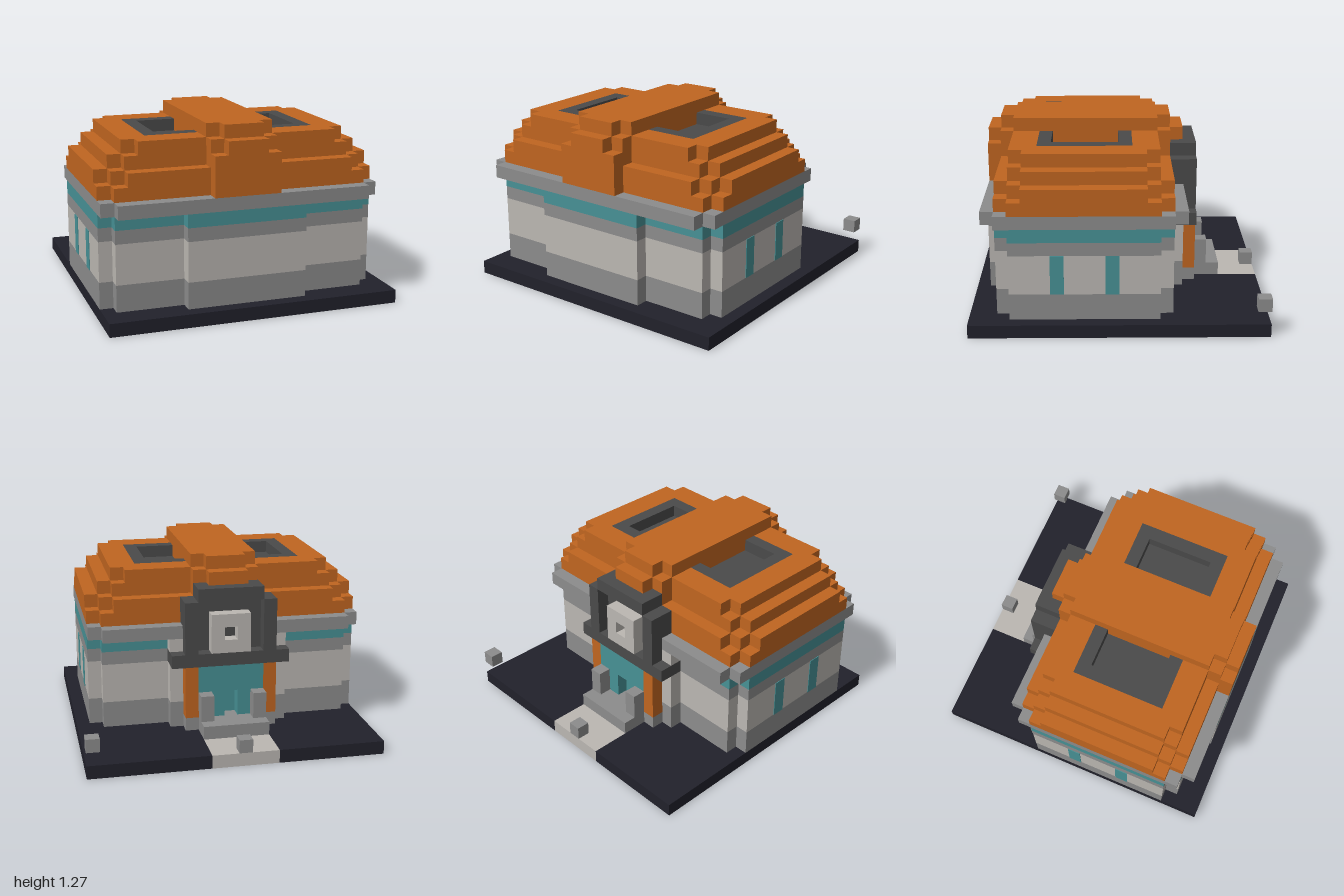
import * as THREE from 'three';
import { mergeGeometries } from 'three/addons/utils/BufferGeometryUtils.js';

const U = 1 / 11; // one block
const material = (name, color) => {
  const m = new THREE.MeshStandardMaterial({ color });
  m.name = name;
  return m;
};

// Box spanning block coordinates [x0, x1, y0, y1, z0, z1]
function block([x0, x1, y0, y1, z0, z1]) {
  const g = new THREE.BoxGeometry((x1 - x0) * U, (y1 - y0) * U, (z1 - z0) * U);
  g.translate((x0 + x1) / 2 * U - 1, (y0 + y1) / 2 * U, (z0 + z1) / 2 * U - 1);
  return g;
}

export function createModel() {
  const model = new THREE.Group();
  model.name = 'building';
  const orange = material('orange roof', 0xc06520);
  const grey = material('grey stone', 0x8c8c8c);
  const light = material('light stone', 0xbbb7b2);
  const teal = material('teal', 0x479195);
  const dark = material('dark stone', 0x4a4a4a);
  const navy = material('dark ground', 0x21212b);

  const add = (name, mat, boxes) => {
    const mesh = new THREE.Mesh(mergeGeometries(boxes.map(block)), mat);
    mesh.name = name;
    model.add(mesh);
  };
  // Mirror boxes across the middle of the building (x = 10.5)
  const both = (boxes) => boxes.flatMap((b) => [b, [21 - b[1], 21 - b[0], ...b.slice(2)]]);

  // Ground and path
  add('ground', navy, [[0, 8, 0, 1, 0, 22], [13, 22, 0, 1, 0, 22], [8, 13, 0, 1, 3, 22]]);
  add('path', light, [[8, 13, 0, 1, 0, 3]]);
  add('pathPost', grey, [[10, 11, 1, 2, 0, 1]]);
  add('floatingBlock', grey, [[21, 22, 2, 3, 0, 1]]);

  // Walls in horizontal bands: notched corners, with a bay at front and back
  const band = (name, mat, y0, y1, back) => add(name, mat, [
    [0, 21, y0, y1, 8, 19], [1, 20, y0, y1, 7, 20], [6, 15, y0, y1, back, 21],
  ]);
  band('plinth', grey, 1, 3, 6);
  band('wall', light, 3, 6, 6);
  band('wallBand', grey, 6, 7, 7);
  band('tealBand', teal, 7, 8, 7);
  add('backBayEnds', light, both([[6, 7, 7, 8, 6, 7]]));
  add('cornice', grey, [
    [0, 21, 8, 9, 7, 20], [1, 20, 8, 9, 19, 21], ...both([[1, 7, 8, 9, 6, 8]]),
  ]);

  // Narrow side windows
  add('sideWindows', teal, both([[-0.05, 0.04, 3, 6, 11, 12], [-0.05, 0.04, 3, 6, 15, 16]]));

  // Stepped roof with an opening on each side of the ridge
  add('roof', orange, [
    [0, 21, 9, 10, 8, 19], [1, 20, 9, 10, 7, 20],
    [0, 21, 10, 11, 9, 18], [1, 20, 10, 11, 8, 19], [2, 19, 10, 11, 7, 20],
    [1, 20, 11, 12, 9, 18], [2, 19, 11, 12, 8, 19],
    [3, 18, 12, 13, 8, 10], [3, 18, 12, 13, 17, 19],
    ...both([[2, 4, 12, 13, 9, 18]]),
  ]);
  add('roofRidge', orange, [
    [8, 13, 9, 12, 18, 21], [8, 13, 11, 13, 7, 20], [9, 12, 12, 13, 6, 21],
    [8, 13, 13, 14, 8, 19], [9, 12, 13, 14, 7, 20],
  ]);
  add('roofWells', dark, both([
    [4, 5, 12, 13, 10, 17], [5, 8, 12, 13, 10, 11], [5, 8, 12, 13, 16, 17],
    [5, 8, 12, 12.08, 11, 16],
  ]));

  // Entrance at the back: sill, arch and square ring
  add('entranceSill', dark, [[6, 15, 6, 7, 5, 7]]);
  add('entranceArch', dark, [
    ...both([[7, 8, 7, 11, 5, 7]]), [8, 13, 11, 12, 5, 7], [8, 13, 7, 11, 6, 7],
  ]);
  add('ringWindow', light, [
    ...both([[9, 10, 7, 10, 5, 6]]), [10, 11, 7, 8, 5, 6], [10, 11, 9, 10, 5, 6],
  ]);

  // Door, pillars and steps
  add('doorPillars', orange, both([[7, 8, 2, 6, 5, 6]]));
  add('door', teal, [
    ...both([[8, 10, 2, 6, 5, 6]]), [10, 11, 4, 6, 5, 6], [10, 11, 2, 4, 5.92, 6],
  ]);
  add('steps', grey, [[7, 14, 1, 2, 5, 6], [8, 13, 1, 2, 3, 5]]);
  add('stepPosts', grey, both([[8, 9, 2, 4, 4, 5]]));

  return model;
}
